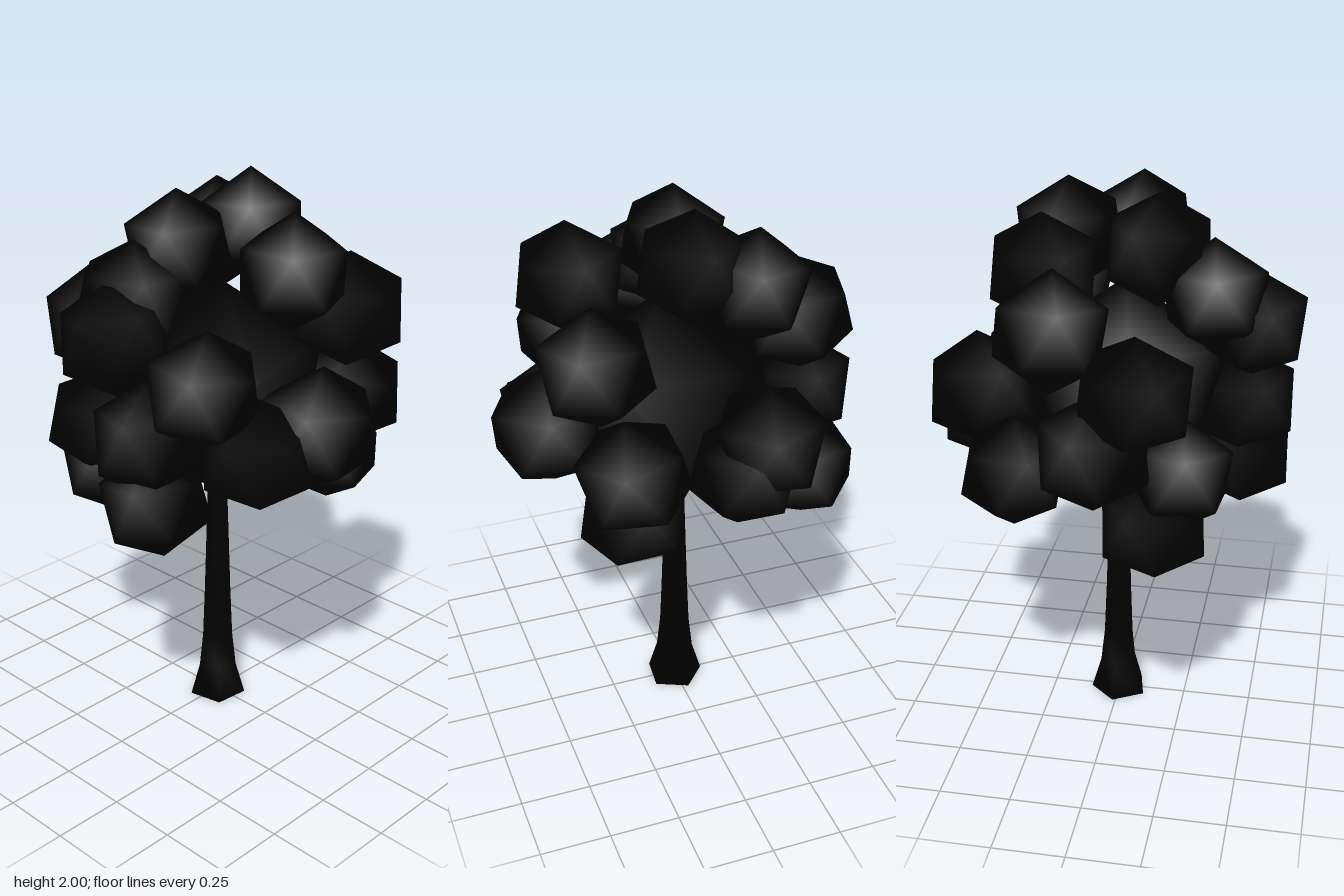
import * as THREE from 'three';
import { mergeVertices } from 'three/addons/utils/BufferGeometryUtils.js';

// Leaf clumps: centre x, y, z and radius
const CLUMPS = [
  // lower tier
  [-0.42, 0.98, 0.12, 0.2], [-0.18, 0.91, -0.37, 0.2], [0.31, 1.0, 0.26, 0.2],
  [0.3, 1.07, -0.36, 0.2], [-0.26, 1.1, -0.34, 0.2],
  // middle tier
  [-0.42, 1.2, 0.1, 0.21], [-0.2, 1.16, 0.38, 0.21], [0.01, 1.22, 0.46, 0.22],
  [0.39, 1.2, 0.28, 0.21], [0.45, 1.28, -0.17, 0.21], [0.43, 1.17, -0.09, 0.2],
  [0, 1.21, -0.47, 0.21], [-0.13, 1.42, -0.47, 0.21], [-0.35, 1.4, 0.28, 0.21],
  // upper tier
  [-0.46, 1.53, -0.02, 0.2], [-0.34, 1.63, -0.07, 0.2], [0.16, 1.58, -0.38, 0.21],
  [0.27, 1.55, 0.36, 0.21], [-0.02, 1.74, 0.36, 0.2],
  // crown
  [0.17, 1.8, 0, 0.2], [-0.14, 1.77, -0.04, 0.2], [0.22, 1.73, -0.2, 0.2],
  // large core holding the crown together
  [-0.01, 1.25, 0, 0.4],
];

export function createModel() {
  const tree = new THREE.Group();
  tree.name = 'tree';
  const bark = new THREE.MeshStandardMaterial({ color: 0x000000 });
  const leaves = new THREE.MeshStandardMaterial({ color: 0x000000 });

  let seed = 7;
  const tilt = (amount) => {
    seed = (seed * 16807) % 2147483647;
    return (seed / 2147483647 - 0.5) * 2 * amount;
  };

  // Five-sided trunk, flared at the foot and tapering upwards
  const profile = [[0, 0], [0.107, 0], [0.072, 0.12], [0.058, 0.25], [0.05, 0.45],
    [0.037, 0.86], [0.03, 1.1]].map(([r, y]) => new THREE.Vector2(r, y));
  const trunk = new THREE.Mesh(new THREE.LatheGeometry(profile, 5, Math.PI / 6), bark);
  trunk.name = 'trunk';
  tree.add(trunk);

  // Smooth-shaded twenty-sided clump with one corner pointing up
  const ball = new THREE.IcosahedronGeometry(1, 0);
  ball.deleteAttribute('normal');
  ball.deleteAttribute('uv');
  const clumpGeometry = mergeVertices(ball);
  clumpGeometry.rotateX(-Math.atan((1 + Math.sqrt(5)) / 2));
  clumpGeometry.computeVertexNormals();

  // Foliage: each clump turned and slightly tilted
  const foliage = new THREE.Group();
  foliage.name = 'foliage';
  for (const [x, y, z, r] of CLUMPS) {
    const clump = new THREE.Mesh(clumpGeometry, leaves);
    clump.position.set(x, y, z);
    clump.scale.setScalar(r);
    clump.rotation.set(tilt(0.12), tilt(Math.PI), tilt(0.12));
    clump.name = 'leafClump';
    foliage.add(clump);
  }
  tree.add(foliage);
  return tree;
}
